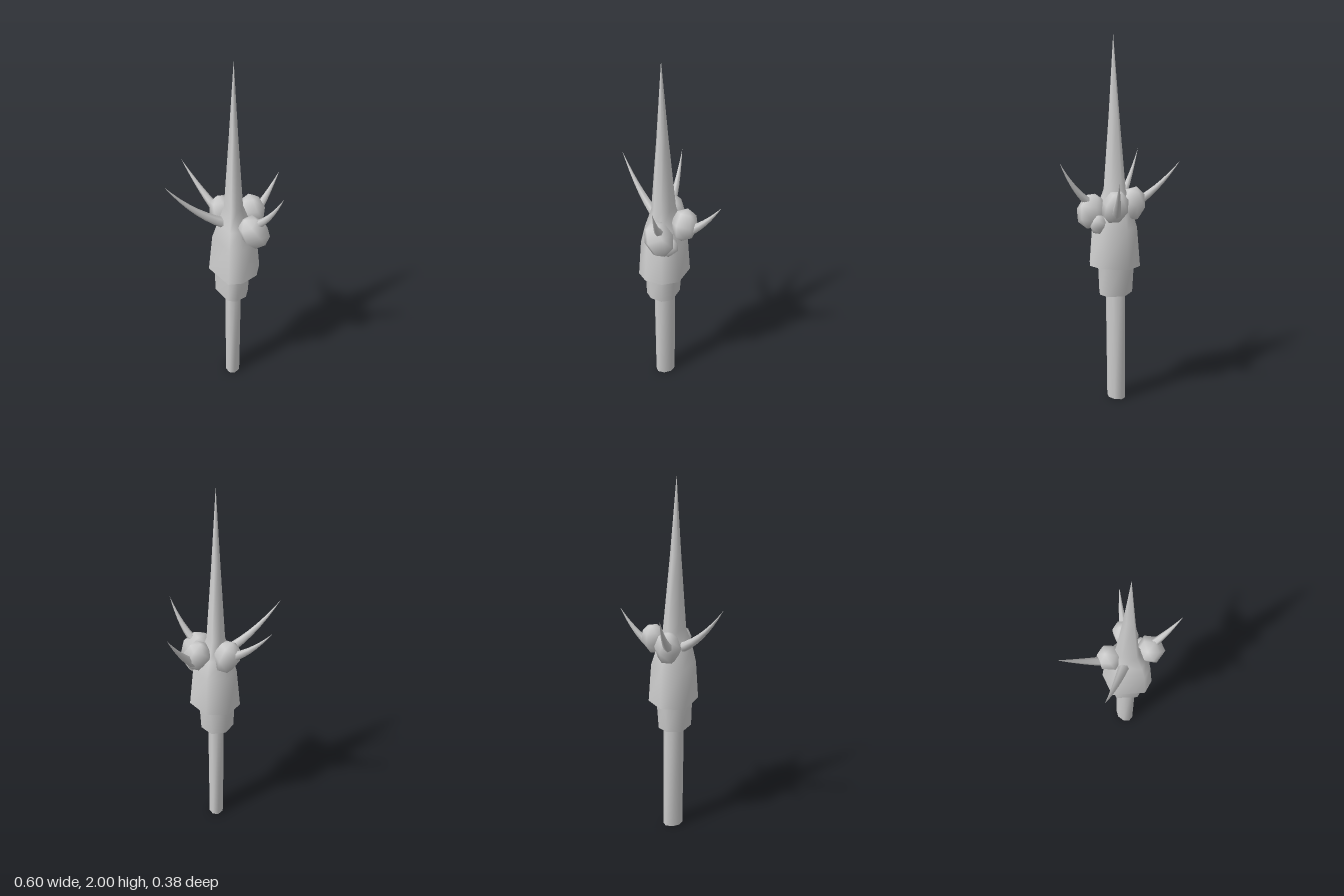
import * as THREE from 'three';

const stone = new THREE.MeshStandardMaterial({ color: 0xcccccc, side: THREE.DoubleSide });
stone.name = 'pale grey';

const V = (p) => new THREE.Vector3(...p);
const UP = new THREE.Vector3(0, 1, 0);

function addMesh(group, name, geometry) {
  const mesh = new THREE.Mesh(geometry, stone);
  mesh.name = name;
  group.add(mesh);
  return mesh;
}

// Skin over horizontal rings [y, centreX, centreZ, radiusX, radiusZ, tilt]
function loft(rings, angles, capBottom = false) {
  const n = angles.length;
  const pos = [];
  const index = [];
  for (const [y, cx, cz, rx, rz, tilt = 0] of rings) {
    for (const deg of angles) {
      const a = THREE.MathUtils.degToRad(deg);
      const dx = Math.cos(a) * rx;
      pos.push(cx + dx, y + dx * tilt, cz + Math.sin(a) * rz);
    }
  }
  for (let r = 0; r < rings.length - 1; r++) {
    for (let j = 0; j < n; j++) {
      const a = r * n + j;
      const b = r * n + (j + 1) % n;
      index.push(a, a + n, b, b, a + n, b + n);
    }
  }
  // separate corners keep the bottom edge sharp
  if (capBottom) {
    const first = pos.length / 3;
    pos.push(...pos.slice(0, n * 3));
    for (let j = 1; j < n - 1; j++) index.push(first, first + j, first + j + 1);
  }
  const geo = new THREE.BufferGeometry();
  geo.setAttribute('position', new THREE.Float32BufferAttribute(pos, 3));
  geo.setIndex(index);
  geo.computeVertexNormals();
  return geo;
}

// Curved thorn: a tube that tapers to a point
function thorn(base, bend, tip, radius) {
  const curve = new THREE.QuadraticBezierCurve3(V(base), V(bend), V(tip));
  const steps = 7, sides = 6;
  const geo = new THREE.TubeGeometry(curve, steps, radius, sides);
  const pos = geo.attributes.position;
  const p = new THREE.Vector3();
  for (let i = 0; i < pos.count; i++) {
    const t = Math.floor(i / (sides + 1)) / steps;
    p.fromBufferAttribute(pos, i).lerp(curve.getPointAt(t), t);
    pos.setXYZ(i, p.x, p.y, p.z);
  }
  return geo;
}

export function createModel() {
  const model = new THREE.Group();
  model.name = 'thornedSpear';
  const even = [0, 1, 2, 3, 4, 5, 6, 7].map((i) => 22.5 + i * 45);
  const uneven = [25, 66, 98, 180, 235, 286, 346];

  // Shaft and the sleeve around its top
  addMesh(model, 'shaft', loft([
    [0, 0.04, 0.03, 0.043, 0.058],
    [0.7, 0.04, 0.034, 0.046, 0.06],
  ], even, true));
  addMesh(model, 'sleeve', loft([
    [0.625, 0.033, 0.04, 0.092, 0.094, -0.06],
    [0.85, 0.035, 0.036, 0.103, 0.105],
  ], uneven));

  // Flared skirt drawing in to the long central spike
  addMesh(model, 'skirtAndSpike', loft([
    [0.785, 0.045, 0.037, 0.141, 0.142, 0.07],
    [1.0, 0.045, 0.037, 0.12, 0.127, 0.03],
    [1.1, 0.042, 0.04, 0.085, 0.1],
    [1.2, 0.039, 0.038, 0.05, 0.066],
    [1.6, 0.037, 0.042, 0.024, 0.031],
    [2.0, 0.036, 0.046, 0.0005, 0.0005],
  ], uneven));

  // Faceted knobs: centre, radii across and along, axis
  const knobs = [
    ['backRightKnob', [-0.025, 1.12, -0.03], 0.073, 0.098, [-0.3, 1, -0.1]],
    ['backLeftKnob', [0.13, 1.13, -0.045], 0.072, 0.09, [-0.25, 1, -0.3]],
    ['frontLeftKnob', [0.152, 1.092, 0.105], 0.08, 0.1, [-0.6, 1, 0.2]],
    ['lowerLeftKnob', [0.16, 1.03, 0.05], 0.05, 0.055, [0.3, 1, -0.3]],
  ];
  for (const [name, centre, across, along, axis] of knobs) {
    const knob = addMesh(model, name, new THREE.SphereGeometry(1, 6, 4));
    knob.scale.set(across, along, across);
    knob.position.set(...centre);
    knob.quaternion.setFromUnitVectors(UP, V(axis).normalize());
  }

  // Thorns: base, bend, tip, base radius
  const thorns = [
    ['frontRightThorn', [0.0, 1.1, 0.05], [-0.16, 1.18, 0.11], [-0.3, 1.375, 0.155], 0.03],
    ['backRightThorn', [-0.05, 1.12, -0.03], [-0.15, 1.19, -0.11], [-0.262, 1.345, -0.175], 0.027],
    ['backLeftThorn', [0.15, 1.1, -0.07], [0.21, 1.17, -0.14], [0.265, 1.29, -0.19], 0.027],
    ['frontLeftThorn', [0.155, 1.13, 0.1], [0.24, 1.2, 0.145], [0.3, 1.36, 0.186], 0.025],
  ];
  for (const [name, base, bend, tip, radius] of thorns) {
    addMesh(model, name, thorn(base, bend, tip, radius));
  }
  return model;
}
